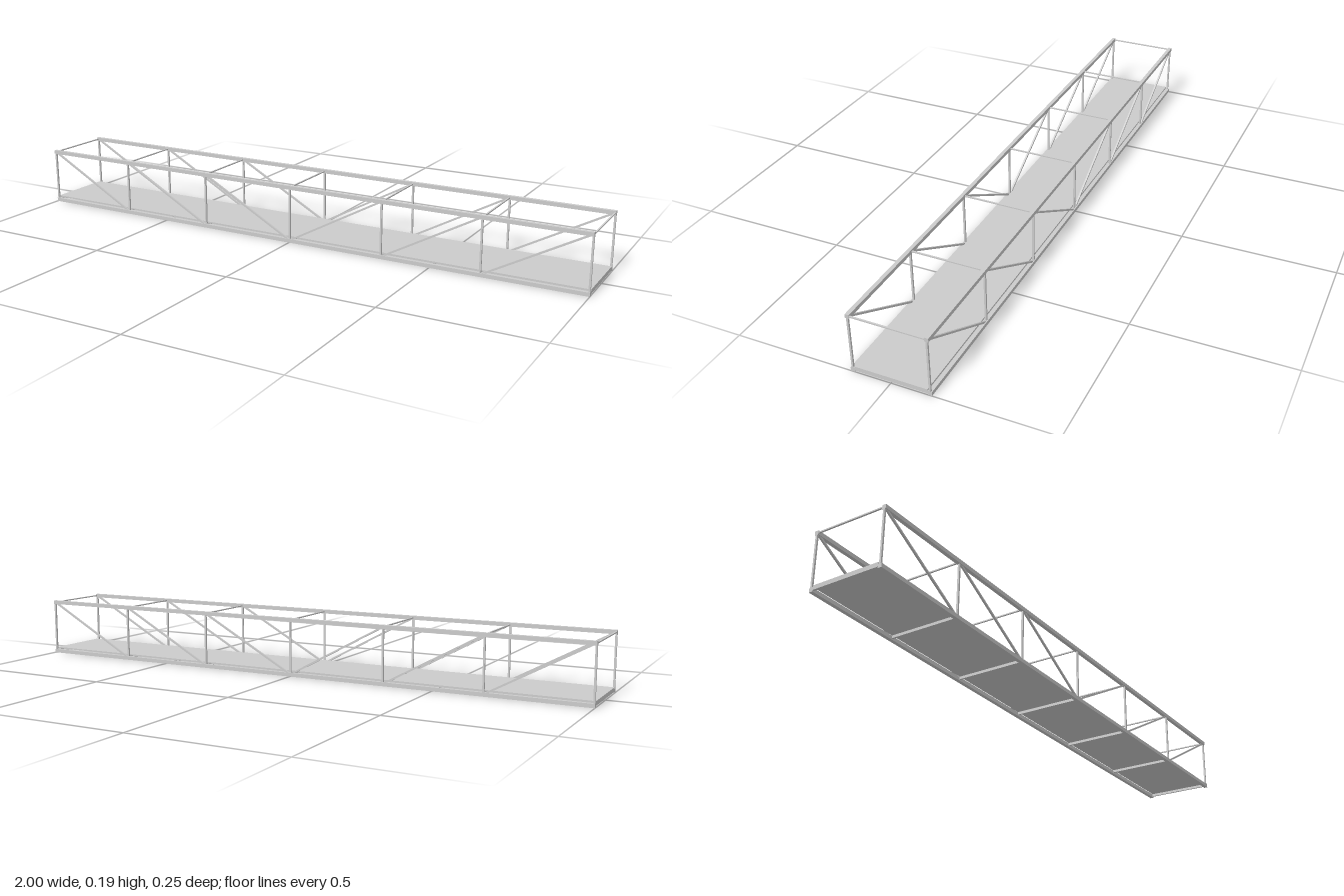
import * as THREE from 'three';

export function createModel() {
  const bridge = new THREE.Group();
  bridge.name = 'trussBridge';
  const material = new THREE.MeshStandardMaterial({ color: 0xcccccc, flatShading: true });

  const panels = 6, endX = 0.997, sideZ = 0.12;
  const chord = 0.0125, bottomY = 0.00625, topY = 0.1875;
  const panelX = (i) => -endX + (2 * endX * i) / panels;

  function box(name, w, h, d, x, y, z) {
    const mesh = new THREE.Mesh(new THREE.BoxGeometry(w, h, d), material);
    mesh.name = name;
    mesh.position.set(x, y, z);
    bridge.add(mesh);
    return mesh;
  }

  // Two side trusses: chords, posts and diagonals
  for (const z of [-sideZ, sideZ]) {
    box('bottomChord', 2, chord, chord, 0, bottomY, z);
    box('topChord', 2, chord, chord, 0, topY, z);

    for (let i = 0; i <= panels; i++) {
      box('post', 0.006, topY - bottomY, 0.006, panelX(i), (topY + bottomY) / 2, z);
    }

    // Diagonals fall toward midspan
    for (let i = 0; i < panels; i++) {
      const dx = panelX(i + 1) - panelX(i);
      const dy = (topY - bottomY) * (i < panels / 2 ? -1 : 1);
      const x = (panelX(i) + panelX(i + 1)) / 2;
      const brace = box('diagonal', Math.hypot(dx, dy), 0.006, 0.006, x, (topY + bottomY) / 2, z);
      brace.rotation.z = Math.atan2(dy, dx);
    }
  }

  // Cross members at every panel point
  for (let i = 0; i <= panels; i++) {
    box('floorBeam', 0.006, 0.009, 2 * sideZ, panelX(i), 0.009, 0);
    box('topStrut', 0.005, 0.004, 2 * sideZ, panelX(i), topY, 0);
  }

  // Walkway deck
  box('deck', 2, 0.005, 0.226, 0, 0.016, 0);

  return bridge;
}
